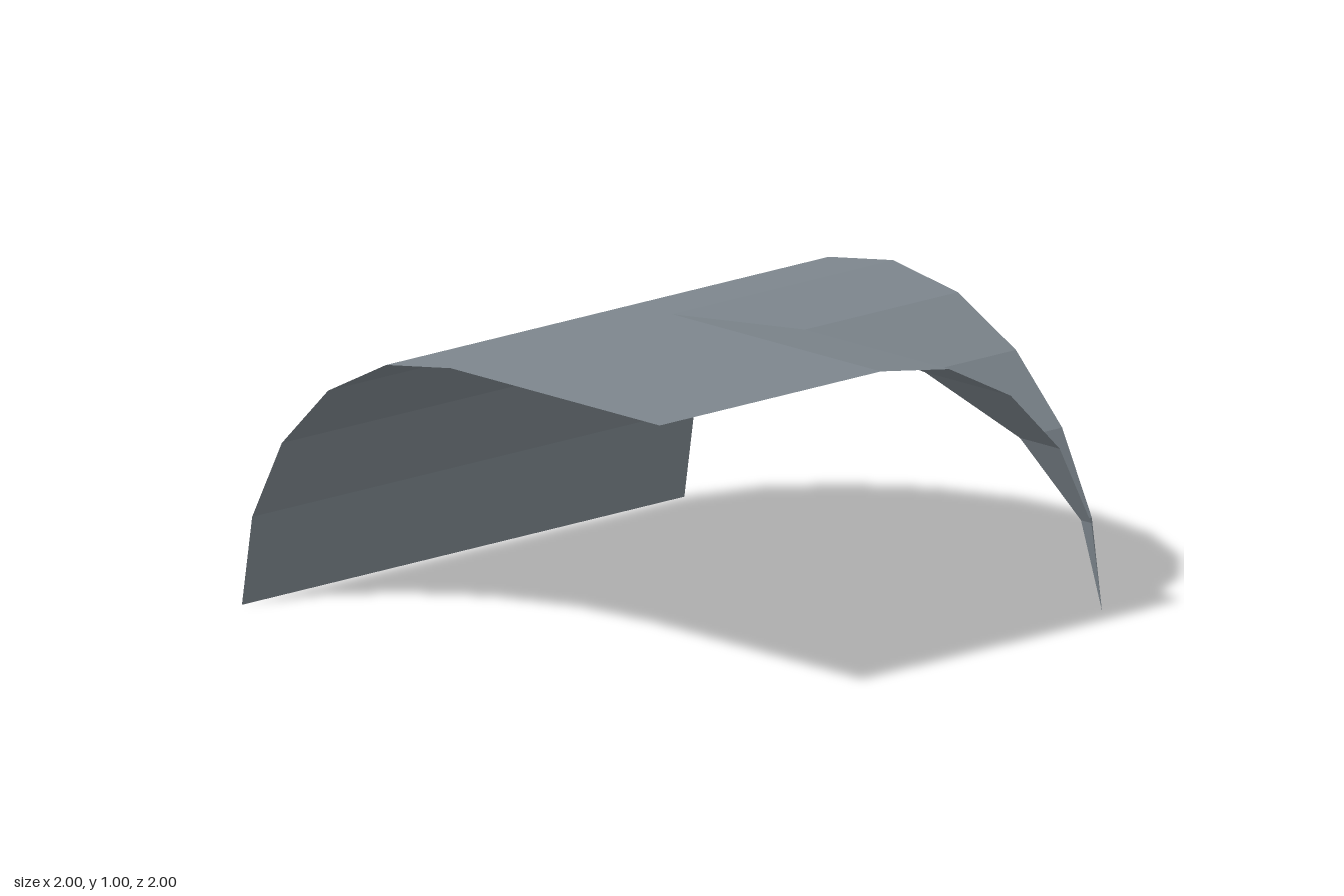
import * as THREE from 'three';

const STEPS = 5; // facets per quarter arch
const arc = Array.from({ length: STEPS + 1 }, (_, i) => {
  const a = (i / STEPS) * Math.PI / 2;
  return { d: Math.sin(a), y: Math.cos(a) };
});

// Mesh from quads whose corners run counter-clockwise seen from above
function quadMesh(name, quads, material) {
  const points = [];
  for (const [a, b, c, d] of quads) {
    points.push(...a, ...b, ...c);
    if (c.some((v, i) => v !== d[i])) points.push(...a, ...c, ...d);
  }
  const geometry = new THREE.BufferGeometry();
  geometry.setAttribute('position', new THREE.Float32BufferAttribute(points, 3));
  geometry.computeVertexNormals();
  const mesh = new THREE.Mesh(geometry, material);
  mesh.name = name;
  return mesh;
}

export function createModel() {
  const group = new THREE.Group();
  group.name = 'vaultCorner';
  const stone = new THREE.MeshStandardMaterial({ color: 0x7d868d, side: THREE.DoubleSide, flatShading: true });
  stone.name = 'slate grey';

  const back = [], sideWeb = [], frontWeb = [];
  for (let i = 0; i < STEPS; i++) {
    const p = arc[i], q = arc[i + 1];
    // Full-width half barrel behind the ridge
    back.push([[-1, q.y, -q.d], [-1, p.y, -p.d], [1, p.y, -p.d], [1, q.y, -q.d]]);
    // Two webs meeting along the diagonal groin
    sideWeb.push([[1, p.y, p.d], [p.d, p.y, p.d], [q.d, q.y, q.d], [1, q.y, q.d]]);
    frontWeb.push([[p.d, p.y, p.d], [p.d, p.y, 1], [q.d, q.y, 1], [q.d, q.y, q.d]]);
  }
  group.add(quadMesh('backBarrel', back, stone));
  group.add(quadMesh('sideWeb', sideWeb, stone));
  group.add(quadMesh('frontWeb', frontWeb, stone));

  // Level panel in the remaining quarter
  group.add(quadMesh('flatPanel', [[[-1, 1, 0], [-1, 1, 1], [0, 1, 1], [0, 1, 0]]], stone));
  return group;
}
